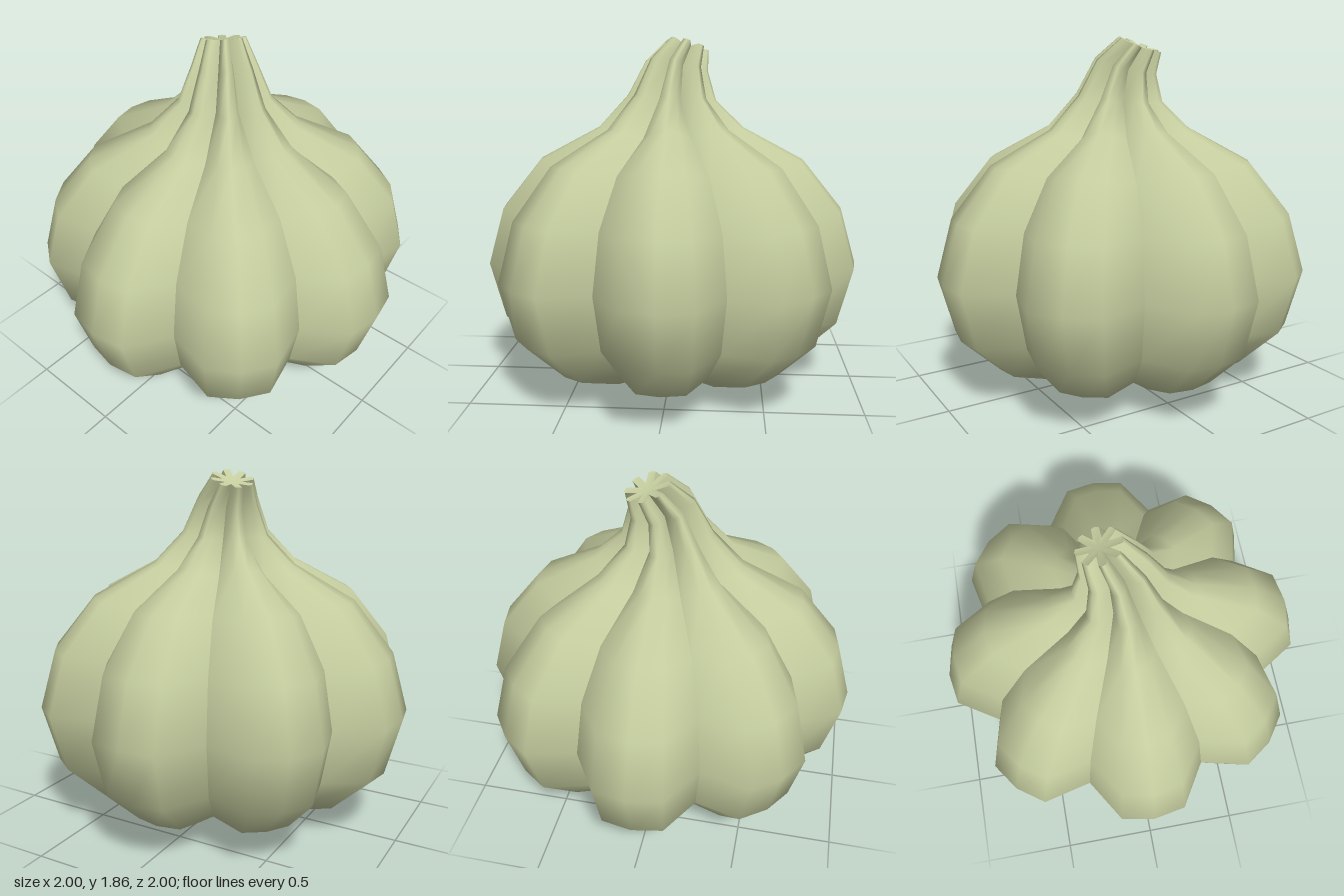
import * as THREE from 'three';

const LOBES = 8;
const HALF = Math.PI / LOBES;
// Across one lobe: angle from its middle, and bulge from groove (0) to crest (1)
const ACROSS = [[-HALF, 0], [-0.175, 0.92], [0, 1], [0.175, 0.92], [HALF, 0]];

// Rings from base to tip: crest radius, crest y, groove radius, groove y, lean, tilt
const RINGS = [
  [0, 0.045, 0, 0.045, 0, 0],
  [0.16, 0.002, 0.12, 0.035, 0, 0],
  [0.2, 0.045, 0.25, 0.055, 0, 0],
  [0.24, 0.055, 0.23, 0.09, 0, 0],
  [0.44, 0.065, 0.36, 0.095, 0, 0],
  [0.71, 0.16, 0.575, 0.185, 0, 0],
  [0.92, 0.36, 0.745, 0.37, 0, 0],
  [1.0, 0.66, 0.81, 0.66, 0, 0],
  [0.915, 0.96, 0.745, 0.95, 0, 0],
  [0.705, 1.22, 0.575, 1.19, 0, 0],
  [0.385, 1.39, 0.31, 1.35, 0, 0],
  [0.235, 1.545, 0.145, 1.53, 0.005, 0.06],
  [0.165, 1.71, 0.095, 1.7, 0.03, 0.18],
  [0.112, 1.82, 0.05, 1.81, 0.085, 0.26],
];

// Point on a ring; the neck leans and slopes towards +x and -z
function ringPoint([cr, cy, gr, gy, lean, tilt], angle, bulge) {
  const r = gr + (cr - gr) * bulge;
  const dx = r * Math.sin(angle), dz = r * Math.cos(angle);
  return [dx + lean, gy + (cy - gy) * bulge - tilt * (dx - dz), dz - lean];
}

function buildGeometry(points, index) {
  const g = new THREE.BufferGeometry();
  g.setAttribute('position', new THREE.Float32BufferAttribute(points.flat(), 3));
  g.setIndex(index);
  g.computeVertexNormals();
  return g;
}

// One smooth clove, from base centre to neck tip
function cloveGeometry(middle) {
  const points = [], index = [], n = ACROSS.length;
  RINGS.forEach((ring, i) => {
    ACROSS.forEach(([a, bulge], j) => {
      points.push(ringPoint(ring, middle + a, bulge));
      if (i === 0 || j === 0) return;
      const d = i * n + j, c = d - 1, b = d - n, a0 = b - 1;
      if (i > 1) index.push(a0, b, d);
      index.push(a0, d, c);
    });
  });
  return buildGeometry(points, index);
}

// Slightly sunken star closing the cut neck
function capGeometry() {
  const top = RINGS[RINGS.length - 1];
  const points = [[top[4], top[1] - 0.025, -top[4]]], index = [];
  for (let i = 0; i < LOBES; i++) {
    for (const [a, bulge] of ACROSS.slice(0, 4)) points.push(ringPoint(top, i * 2 * HALF + a, bulge));
  }
  const count = points.length - 1;
  for (let i = 0; i < count; i++) index.push(0, 1 + i, 1 + (i + 1) % count);
  return buildGeometry(points, index);
}

export function createModel() {
  const group = new THREE.Group();
  group.name = 'garlicBulb';
  const skin = new THREE.MeshStandardMaterial({ color: 0xc4cc9e });
  skin.name = 'paleGreenSkin';
  skin.side = THREE.DoubleSide;

  for (let i = 0; i < LOBES; i++) {
    const clove = new THREE.Mesh(cloveGeometry(i * 2 * HALF), skin);
    clove.name = `clove${i + 1}`;
    group.add(clove);
  }
  const cap = new THREE.Mesh(capGeometry(), skin);
  cap.name = 'neckTip';
  group.add(cap);
  return group;
}
